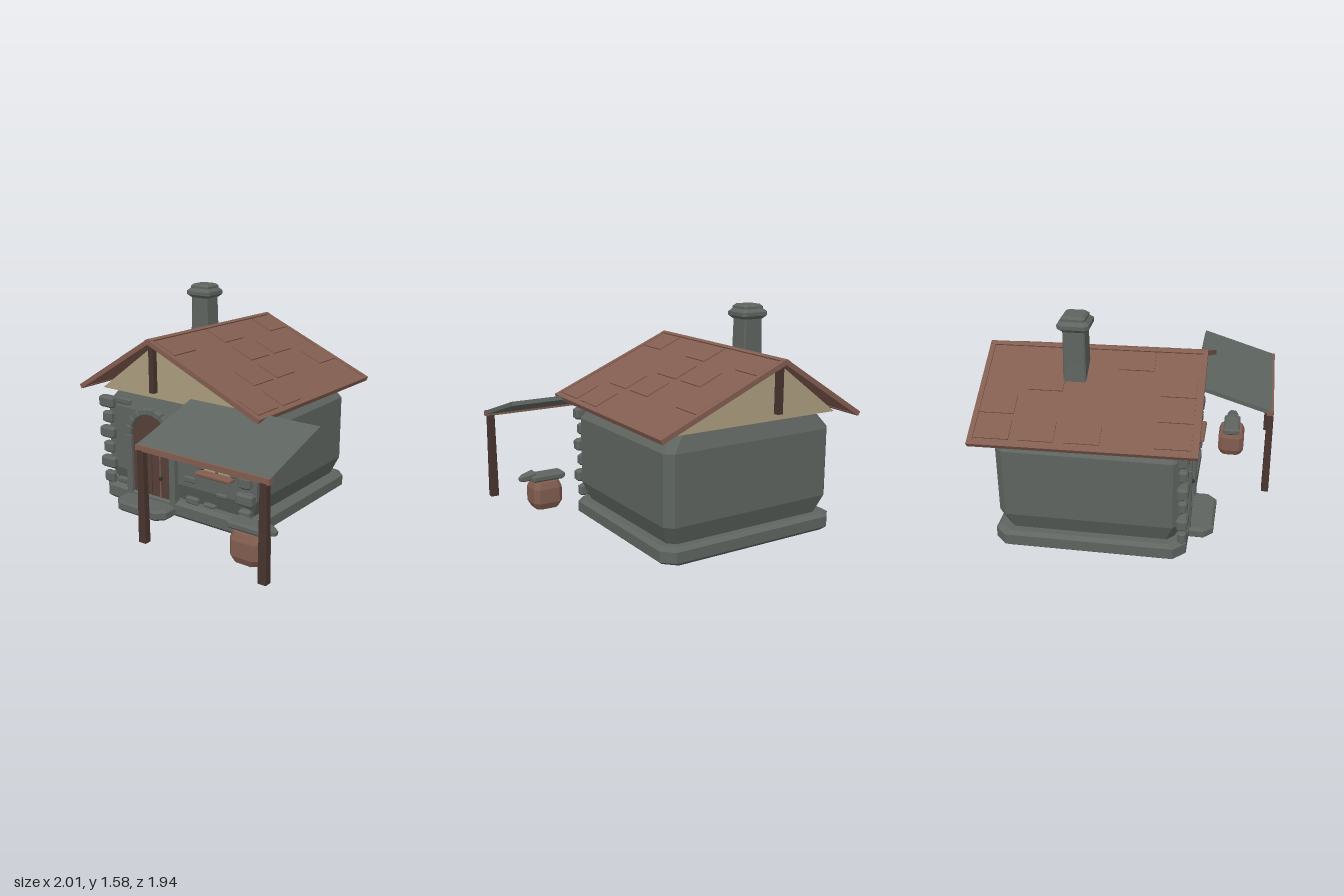
import * as THREE from 'three';

const mat = (name, color) => {
  const m = new THREE.MeshStandardMaterial({ color, flatShading: true });
  m.name = name;
  return m;
};

export function createModel() {
  const stone = mat('grey stone', 0x5e645f);
  const roofWood = mat('red brown wood', 0x825d50);
  const darkWood = mat('dark wood', 0x48342f);
  const doorWood = mat('door wood', 0x573f38);
  const plaster = mat('beige plaster', 0xab9d7e);
  const iron = mat('dark iron', 0x2c2e2d);
  const model = new THREE.Group();
  model.name = 'cottage';

  const add = (parent, name, geo, material, x = 0, y = 0, z = 0) => {
    const m = new THREE.Mesh(geo, material);
    m.name = name;
    m.position.set(x, y, z);
    parent.add(m);
    return m;
  };
  const box = (name, material, w, h, d, x, y, z, parent = model) =>
    add(parent, name, new THREE.BoxGeometry(w, h, d), material, x, y, z);

  // Stacks corner-cut rectangles [y, halfX, halfZ, cut] into a closed solid
  const loft = (rings) => {
    const loops = rings.map(([y, a, b, c]) =>
      [[a, b - c], [a - c, b], [c - a, b], [-a, b - c], [-a, c - b], [c - a, -b], [a - c, -b], [a, c - b]]
        .map(([x, z]) => [x, y, z]));
    const v = [];
    for (let r = 0; r + 1 < loops.length; r++) {
      for (let i = 0; i < 8; i++) {
        const j = (i + 1) % 8, lo = loops[r], hi = loops[r + 1];
        v.push(...lo[i], ...hi[i], ...hi[j], ...lo[i], ...hi[j], ...lo[j]);
      }
    }
    const bottom = loops[0], top = loops[loops.length - 1];
    for (let i = 1; i < 7; i++) {
      v.push(...bottom[0], ...bottom[i], ...bottom[i + 1], ...top[0], ...top[i + 1], ...top[i]);
    }
    const g = new THREE.BufferGeometry();
    g.setAttribute('position', new THREE.Float32BufferAttribute(v, 3));
    g.computeVertexNormals();
    return g;
  };
  // Bevelled block centred on its origin
  const block = (w, h, d, b) => loft([
    [-h / 2, w / 2 - b, d / 2 - b, b], [b - h / 2, w / 2, d / 2, b],
    [h / 2 - b, w / 2, d / 2, b], [h / 2, w / 2 - b, d / 2 - b, b]]);
  const rock = (name, w, h, d, x, y, z, b = 0.012) => add(model, name, block(w, h, d, b), stone, x, y, z);

  // Plinth and walls
  const cx = -0.19, cz = -0.22;
  add(model, 'plinth', loft([
    [0, 0.68, 0.63, 0.08], [0.025, 0.71, 0.655, 0.08], [0.1, 0.71, 0.655, 0.08], [0.12, 0.68, 0.62, 0.08]]),
  stone, cx, 0, cz);
  add(model, 'walls', loft([
    [0.1, 0.62, 0.565, 0.05], [0.25, 0.68, 0.62, 0.055], [0.735, 0.68, 0.62, 0.055], [0.86, 0.58, 0.575, 0.05]]),
  stone, cx, 0, cz);

  // Gables with king posts at both ends
  const tri = new THREE.Shape([[-0.87, 0.855], [0.5, 0.855], [-0.33, 1.26]].map(p => new THREE.Vector2(...p)));
  for (const [end, z, postZ] of [['front', 0.395, 0.45], ['back', -0.845, -0.9]]) {
    add(model, end + 'Gable', new THREE.ExtrudeGeometry(tri, { depth: 0.01, bevelEnabled: false }), plaster, 0, 0, z - 0.005);
    box(end + 'KingPost', darkWood, 0.042, 0.33, 0.04, -0.33, 1.075, postZ);
  }

  // Roof slopes with edge boards and scattered shingles
  const roof = new THREE.Group();
  roof.name = 'roof';
  roof.rotation.x = -0.014;
  roof.position.set(0, 0.002, 0.015);
  model.add(roof);
  const rows = [-0.815, -0.525, -0.23, 0.055, 0.345];
  const slopes = [
    { name: 'left', side: 1, run: 0.93, drop: 0.395, cols: [-0.21, 0.025, 0.25, 0.485], w: 0.175,
      tiles: [[0, 0], [2, 0], [1, 1], [0, 2], [1, 2], [2, 2], [2, 3], [3, 3], [0, 4], [3, 4]] },
    { name: 'right', side: -1, run: 0.66, drop: 0.415, cols: [-0.42, -0.58, -0.74, -0.9], w: 0.12,
      tiles: [[2, 0], [3, 0], [1, 1], [3, 1], [3, 2], [0, 3], [1, 4], [2, 4], [3, 4]] }];
  for (const s of slopes) {
    const g = new THREE.Group();
    g.name = s.name + 'Slope';
    g.position.set(-0.33, 1.285, 0);
    g.rotation.z = -s.side * Math.atan2(s.drop, s.run);
    roof.add(g);
    const len = Math.hypot(s.run, s.drop), k = len / s.run;
    box('roofPanel', roofWood, len, 0.022, 1.45, s.side * len / 2, -0.011, -0.23, g);
    for (const z of [-0.95, 0.49]) box('rakeBoard', roofWood, len, 0.034, 0.034, s.side * len / 2, -0.009, z, g);
    box('eaveBoard', roofWood, 0.03, 0.034, 1.474, s.side * len, -0.009, -0.23, g);
    box('ridgeBoard', roofWood, 0.025, 0.02, 1.474, s.side * 0.0125, 0, -0.23, g);
    for (const [c, r] of s.tiles)
      box('shingle', roofWood, s.w * k, 0.012, 0.23, (s.cols[c] + 0.33) * k, 0.002, rows[r], g);
  }

  // Chimney
  add(model, 'chimneyShaft', loft([
    [1.0, 0.092, 0.08, 0.01], [1.25, 0.08, 0.075, 0.01], [1.5, 0.073, 0.073, 0.01]]), stone, -0.488, 0, -0.345);
  rock('chimneyCap', 0.215, 0.07, 0.21, -0.488, 1.51, -0.345, 0.022);
  rock('chimneyTop', 0.165, 0.05, 0.16, -0.488, 1.55, -0.345, 0.015);

  // Corner stones, mirrored about the house axis
  for (let i = 0; i < 6; i++) {
    const wide = i % 2 === 1, w = wide ? 0.14 : 0.095;
    for (const s of [-1, 1])
      rock('cornerStone', w, 0.085, wide ? 0.075 : 0.06, cx + s * ((wide ? 0.7 : 0.675) - w / 2), 0.165 + i * 0.1185, 0.408, 0.014);
  }
  // Stones standing out of the wall
  for (const [x, y, w, h] of [[-0.68, 0.778, 0.15, 0.045], [0.235, 0.252, 0.09, 0.032], [-0.05, 0.31, 0.1, 0.045],
    [-0.04, 0.145, 0.11, 0.05], [0.115, 0.145, 0.1, 0.028], [-0.7, 0.15, 0.12, 0.04]])
    rock('wallStone', w, h, 0.04, x, y, y > 0.74 || y < 0.2 ? 0.383 : 0.395, 0.008);

  // Arched door with stone surround
  const dx = -0.393, spring = 0.545;
  const arch = new THREE.Shape();
  arch.moveTo(-0.178, 0.08);
  arch.lineTo(0.178, 0.08);
  arch.lineTo(0.178, spring);
  arch.absarc(0, spring, 0.178, 0, Math.PI, false);
  add(model, 'door', new THREE.ExtrudeGeometry(arch, { depth: 0.04, bevelEnabled: false, curveSegments: 12 }), doorWood, dx, 0, 0.375);
  for (const x of [-0.085, 0.0]) box('plankGap', darkWood, 0.005, 0.42, 0.004, dx + x, 0.31, 0.416);
  box('doorBatten', roofWood, 0.007, 0.42, 0.008, -0.312, 0.31, 0.418);
  add(model, 'doorKnob', new THREE.SphereGeometry(0.015, 8, 6), iron, -0.298, 0.265, 0.428);
  for (const s of [-1, 1]) rock('doorPillar', 0.055, 0.48, 0.07, dx + s * 0.205, 0.315, 0.412);
  for (let i = 0; i < 9; i++) {
    const a = (i + 0.5) * Math.PI / 9;
    rock('archStone', 0.052, 0.075, 0.065, dx + Math.cos(a) * 0.205, spring + Math.sin(a) * 0.205, 0.41, 0.008).rotation.z = a;
  }
  add(model, 'doorStep', loft([
    [0.005, 0.21, 0.09, 0.05], [0.025, 0.235, 0.11, 0.06], [0.07, 0.235, 0.11, 0.06], [0.088, 0.215, 0.095, 0.05]]),
  stone, dx, 0, 0.49);

  // Window with bars, sill, lintel and shutters
  box('windowPane', plaster, 0.23, 0.3, 0.02, 0.2, 0.55, 0.402);
  box('windowBarUpright', roofWood, 0.02, 0.3, 0.02, 0.2, 0.55, 0.412);
  box('windowBarCross', roofWood, 0.22, 0.02, 0.02, 0.2, 0.55, 0.412);
  add(model, 'windowSill', block(0.3, 0.03, 0.09, 0.008), roofWood, 0.2, 0.4, 0.43);
  rock('windowLintel', 0.32, 0.045, 0.05, 0.2, 0.715, 0.41);
  for (const x of [0.065, 0.345]) rock('windowJamb', 0.055, 0.29, 0.05, x, 0.56, 0.41);

  // Lean-to canopy on two posts
  const canopy = box('canopyRoof', stone, 1.03, 0.03, 0.59, 0.482, 0.803, 0.677);
  canopy.rotation.x = Math.atan2(0.175, 0.56);
  box('canopyBeam', roofWood, 1.035, 0.038, 0.045, 0.482, 0.714, 0.945);
  for (const x of [0.003, 0.957])
    add(model, 'canopyPost', loft([[0.055, 0.031, 0.027, 0.004], [0.7, 0.025, 0.024, 0.004]]), darkWood, x, 0, 0.945);

  // Wooden stump carrying an anvil
  add(model, 'stump', loft([
    [0, 0.09, 0.08, 0.03], [0.05, 0.115, 0.102, 0.035], [0.16, 0.115, 0.102, 0.035], [0.21, 0.095, 0.085, 0.03]]),
  roofWood, 0.658, 0, 0.66);
  rock('anvilBody', 0.27, 0.055, 0.13, 0.64, 0.238, 0.66, 0.014);
  rock('anvilFace', 0.1, 0.03, 0.08, 0.73, 0.258, 0.66, 0.01);
  const horn = add(model, 'anvilHorn', loft([
    [-0.06, 0.03, 0.045, 0.012], [0.03, 0.025, 0.03, 0.01], [0.06, 0.014, 0.015, 0.005]]), stone, 0.8, 0.252, 0.66);
  horn.rotation.z = -Math.PI / 2 - 0.2;

  return model;
}
